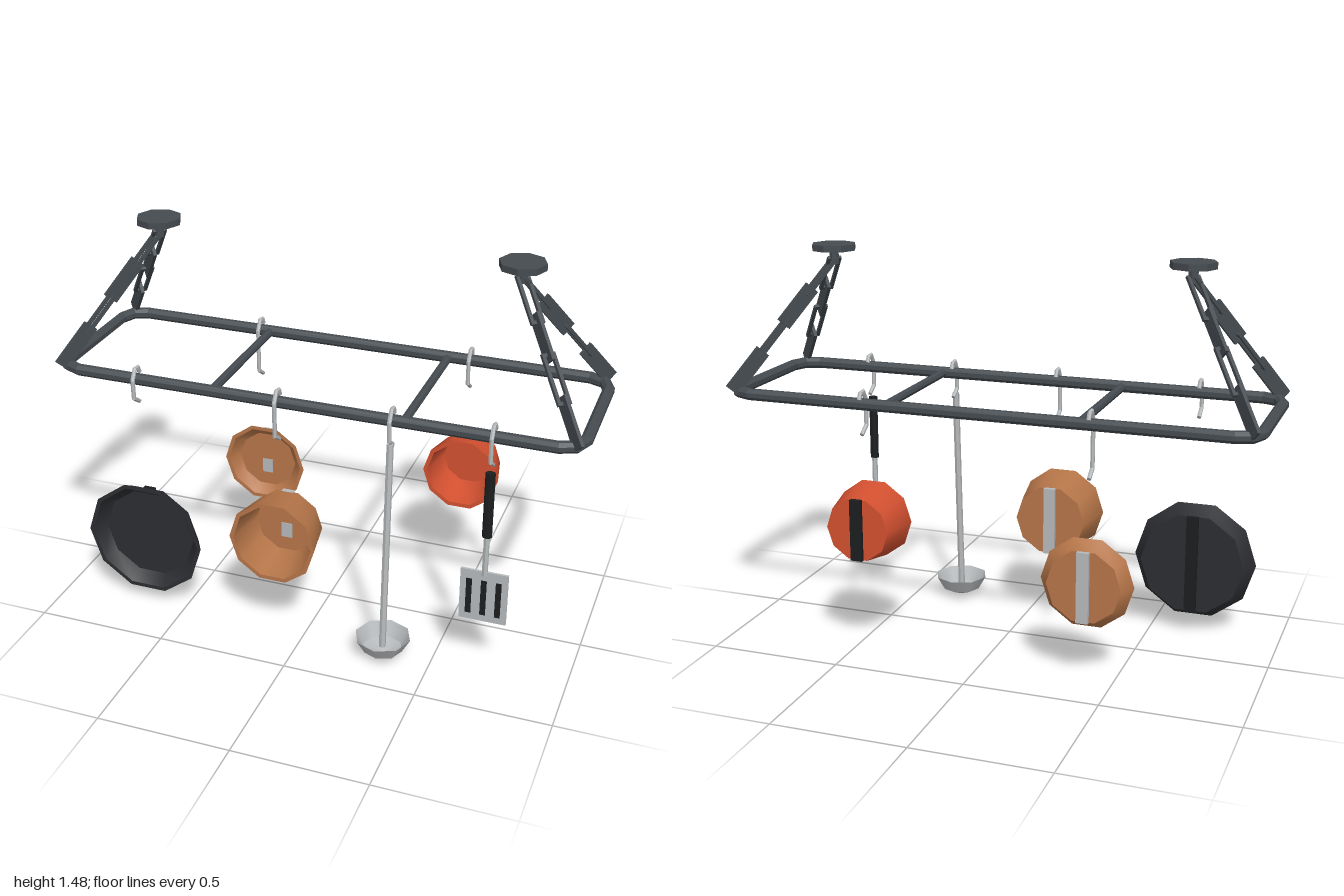
import * as THREE from 'three';
import { toCreasedNormals } from 'three/addons/utils/BufferGeometryUtils.js';

const mat = (color, opts = {}) => new THREE.MeshStandardMaterial({ color, flatShading: true, ...opts });
const smooth = color => mat(color, { flatShading: false });
const iron = mat(0x454b50), steel = mat(0xb6b9bb), grip = mat(0x1c1d1f);
const pan = smooth(0x2c2d31), copper = smooth(0xb57548), red = smooth(0xd25030);
const bowlSteel = mat(0xb6b9bb, { flatShading: false, side: THREE.DoubleSide });
const V = (x, y, z) => new THREE.Vector3(x, y, z);

function add(parent, name, geo, material, x = 0, y = 0, z = 0) {
  const m = new THREE.Mesh(geo, material);
  m.name = name;
  m.position.set(x, y, z);
  parent.add(m);
  return m;
}

// Sweeps a regular section along a flat path with normal n, with mitred corners
function sweep(pts, n, r, sides, closed) {
  const pos = [], idx = [], N = pts.length;
  pts.forEach((p, i) => {
    const prev = closed || i > 0 ? pts[(i + N - 1) % N] : null;
    const next = closed || i < N - 1 ? pts[(i + 1) % N] : null;
    const a = prev ? p.clone().sub(prev).normalize() : next.clone().sub(p).normalize();
    const b = next ? next.clone().sub(p).normalize() : a.clone();
    const t = a.clone().add(b).normalize();
    const side = t.clone().cross(n).multiplyScalar(1 / Math.max(0.4, t.dot(a)));
    for (let k = 0; k < sides; k++) {
      const ang = ((k + 0.5) / sides) * Math.PI * 2;
      const v = p.clone().addScaledVector(n, r * Math.cos(ang)).addScaledVector(side, r * Math.sin(ang));
      pos.push(v.x, v.y, v.z);
    }
  });
  for (let i = 0; i < (closed ? N : N - 1); i++) {
    for (let k = 0; k < sides; k++) {
      const j = (i + 1) % N, l = (k + 1) % sides;
      const a = i * sides + k, b = i * sides + l, c = j * sides + l, d = j * sides + k;
      idx.push(a, b, c, a, c, d);
    }
  }
  if (!closed) {
    const e = (N - 1) * sides;
    for (let k = 1; k < sides - 1; k++) idx.push(0, k + 1, k, e, e + k, e + k + 1);
  }
  const g = new THREE.BufferGeometry();
  g.setAttribute('position', new THREE.Float32BufferAttribute(pos, 3));
  g.setIndex(idx);
  g.computeVertexNormals();
  return g;
}

// Round bar between two points
function bar(parent, name, a, b, r, sides, material) {
  const m = add(parent, name, new THREE.CylinderGeometry(r, r, a.distanceTo(b), sides), material);
  m.position.copy(a).lerp(b, 0.5);
  m.quaternion.setFromUnitVectors(V(0, 1, 0), b.clone().sub(a).normalize());
}

const FRONT = 0.248, BACK = -0.328, MID = -0.037, RAIL = 0.948;

function frame() {
  const g = new THREE.Group();
  g.name = 'hangingFrame';
  const pts = [], c = 0.08, hx = 0.978, hz = (FRONT - BACK) / 2, cz = (FRONT + BACK) / 2;
  [[1, 1], [-1, 1], [-1, -1], [1, -1]].forEach(([sx, sz], q) => {
    for (let i = 0; i < 3; i++) {
      const a = (q + i / 2) * Math.PI / 2;
      pts.push(V(sx * (hx - c) + c * Math.cos(a), RAIL, cz + sz * (hz - c) + c * Math.sin(a)));
    }
  });
  add(g, 'rail', sweep(pts, V(0, 1, 0), 0.022, 8, true), iron);
  for (const x of [-0.365, 0.359]) bar(g, 'crossBar', V(x, RAIL, FRONT), V(x, RAIL, BACK), 0.016, 8, iron);
  return g;
}

// Chain of alternating open links and solid plates
function chain(top, bottom) {
  const g = new THREE.Group();
  g.name = 'chain';
  const len = top.distanceTo(bottom), d = bottom.clone().sub(top).normalize();
  const h = d.clone().cross(V(0, 1, 0)).normalize();
  g.position.copy(top);
  g.quaternion.setFromRotationMatrix(new THREE.Matrix4().makeBasis(h, d, h.clone().cross(d)));
  for (const [a, b] of [[0, 0.27], [0.46, 0.74]]) {
    const w = 0.02, y0 = a * len, y1 = b * len;
    const pts = [V(-w, y0, 0), V(w, y0, 0), V(w, y1, 0), V(-w, y1, 0)];
    add(g, 'openLink', sweep(pts, V(0, 0, 1), 0.009, 4, true), iron);
  }
  for (const [a, b] of [[0.22, 0.5], [0.7, 1]])
    add(g, 'plateLink', new THREE.BoxGeometry(0.013, (b - a) * len, 0.056), iron, 0, (a + b) / 2 * len, 0);
  return g;
}

// S-shaped hook over a rail, its tip pointing to the back
function hook(parent, x, railZ, tipY) {
  const pts = [[-0.022, 0.968], [-0.012, 0.99], [0.012, 0.993], [0.035, 0.955], [0.033, tipY + 0.035], [-0.008, tipY + 0.007]]
    .map(([z, y]) => V(x, y, railZ + z));
  add(parent, 'hook', sweep(pts, V(1, 0, 0), 0.008, 6, false), steel);
}

// Ten-sided pan, open to the front, with a flat strap handle across its base
function pot(name, x, y, zBase, zRim, R, rb, material, strap, patchY) {
  const g = new THREE.Group(), h = zRim - zBase, w = 0.016;
  g.name = name;
  g.position.set(x, y, zBase);
  const profile = [[0, 0], [rb, 0], [R, h], [R - w, h], [rb - w, 0.012], [0, 0.012]].map(p => new THREE.Vector2(...p));
  const body = new THREE.LatheGeometry(profile, 10).rotateY(Math.PI / 2).rotateX(Math.PI / 2);
  add(g, 'panBody', toCreasedNormals(body, 0.7), material);
  add(g, 'strapHandle', new THREE.BoxGeometry(0.045, rb * 1.92, 0.02), strap, 0, 0, -0.004);
  if (patchY) add(g, 'handleMount', new THREE.BoxGeometry(0.043, 0.06, 0.006), strap, 0, patchY, 0.012);
  return g;
}

function ladle() {
  const g = new THREE.Group(), x = 0.319;
  g.name = 'ladle';
  bar(g, 'ladleHandle', V(x, 0.865, 0.268), V(x, 0.04, 0.312), 0.013, 6, steel);
  const rings = [[0, 0], [0.075, 0.032], [0.105, 0.085]].map(p => new THREE.Vector2(...p));
  add(g, 'ladleBase', new THREE.LatheGeometry(rings.slice(0, 2), 8), bowlSteel, x, 0, 0.309);
  add(g, 'ladleWall', new THREE.LatheGeometry(rings.slice(1), 8), bowlSteel, x, 0, 0.309);
  return g;
}

function spatula() {
  const g = new THREE.Group();
  g.name = 'spatula';
  g.position.set(0.679, 0, 0.269);
  add(g, 'spatulaGrip', new THREE.CylinderGeometry(0.018, 0.018, 0.255, 8).scale(1, 1, 0.75), grip, 0, 0.692, 0);
  add(g, 'spatulaShaft', new THREE.CylinderGeometry(0.011, 0.011, 0.17, 6), steel, 0, 0.49, 0);
  add(g, 'spatulaBlade', new THREE.BoxGeometry(0.174, 0.208, 0.009), steel, 0, 0.317, 0);
  for (const x of [-0.054, 0, 0.054])
    add(g, 'bladeSlot', new THREE.BoxGeometry(0.021, 0.145, 0.004), grip, x, 0.312, 0.004);
  return g;
}

export function createModel() {
  const model = new THREE.Group();
  model.name = 'hangingPotRack';
  model.add(frame());

  // Ceiling mounts, each with two chains to the frame corners
  for (const s of [-1, 1]) {
    add(model, 'ceilingPlate', new THREE.CylinderGeometry(0.084, 0.084, 0.024, 8), iron, s * 0.68, 1.464, MID);
    add(model, 'mountStem', new THREE.CylinderGeometry(0.018, 0.018, 0.06, 8), iron, s * 0.68, 1.43, MID);
    for (const z of [0.256, -0.336]) model.add(chain(V(s * 0.68, 1.42, MID), V(s * 0.968, 0.957, z)));
  }

  // Hooks: x, rail, height of the tip
  [[-0.661, FRONT, 0.848], [-0.406, BACK, 0.749], [-0.107, FRONT, 0.79], [0.319, FRONT, 0.845],
    [0.445, BACK, 0.829], [0.679, FRONT, 0.83]].forEach(h => hook(model, ...h));

  // Hanging pans and utensils
  model.add(
    pot('fryingPan', -0.658, 0.281, 0.22, 0.28, 0.236, 0.2, pan, grip, 0),
    pot('copperSkillet', -0.395, 0.364, -0.35, -0.3, 0.172, 0.137, copper, steel, -0.03),
    pot('copperPot', -0.106, 0.41, 0.17, 0.338, 0.167, 0.137, copper, steel, -0.03),
    pot('redPot', 0.445, 0.495, -0.4, -0.248, 0.149, 0.12, red, grip, 0),
    ladle(),
    spatula());
  return model;
}
